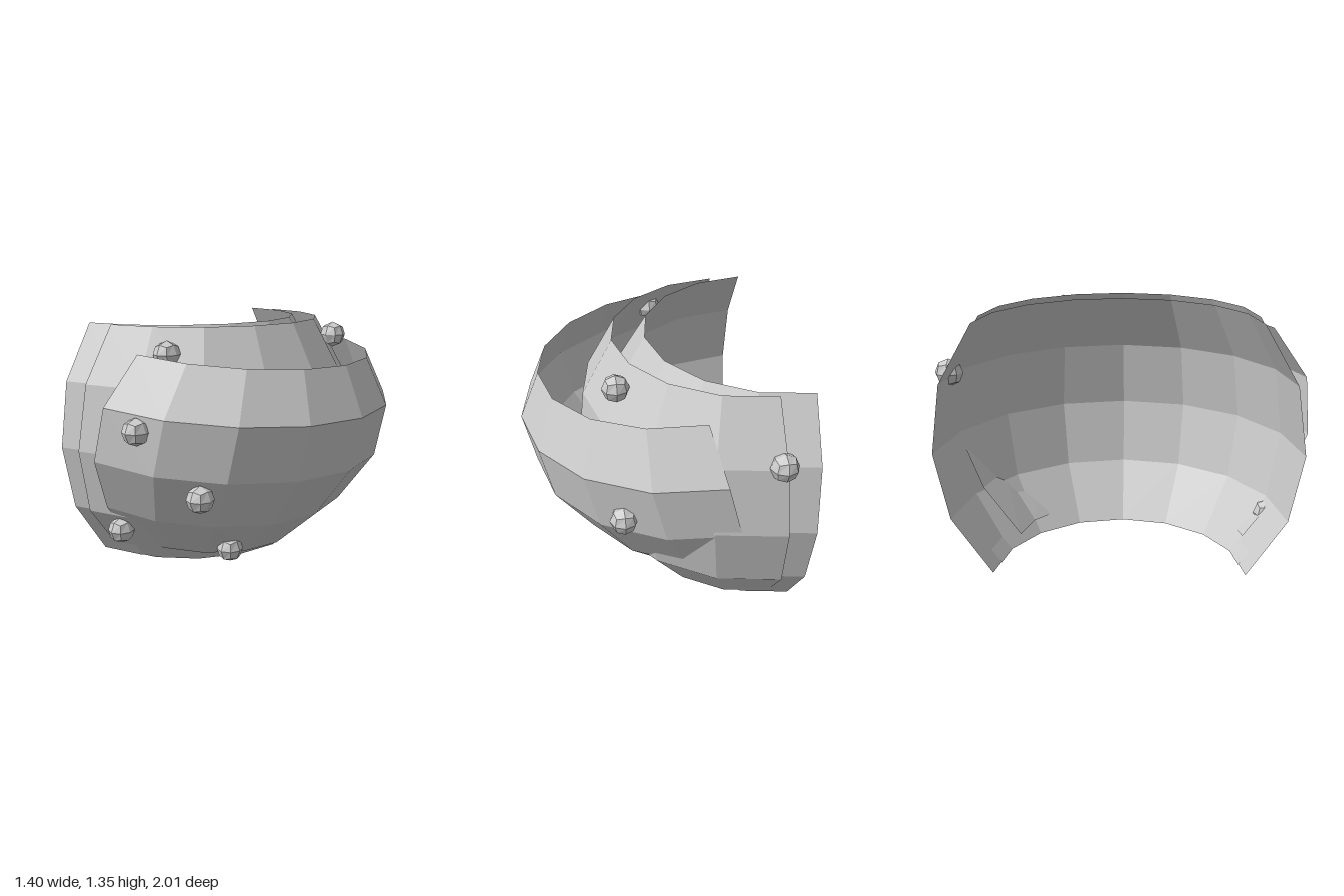
import * as THREE from 'three';

const metal = new THREE.MeshStandardMaterial({ color: 0xcccccc, flatShading: true });
const plateMetal = new THREE.MeshStandardMaterial({ color: 0xcccccc, flatShading: true, side: THREE.DoubleSide });

const ARC_STEPS = 8; // half circle in 22.5 degree facets

// Thin curved plate: each row is a half circle [centre x, y at the ends, y at the middle, radius]
function plate(name, rows, zCentre) {
  const positions = [];
  const index = [];
  for (const [cx, yEnd, yMid, r] of rows) {
    for (let i = 0; i <= ARC_STEPS; i++) {
      const a = Math.PI * (0.5 - i / ARC_STEPS);
      const c = Math.cos(a);
      positions.push(cx + r * c, yEnd + (yMid - yEnd) * c, zCentre + r * Math.sin(a));
    }
  }
  const n = ARC_STEPS + 1;
  for (let j = 0; j < rows.length - 1; j++) {
    for (let i = 0; i < ARC_STEPS; i++) {
      const a = j * n + i;
      const b = a + n;
      index.push(a, a + 1, b + 1, a, b + 1, b);
    }
  }
  const geo = new THREE.BufferGeometry();
  geo.setAttribute('position', new THREE.Float32BufferAttribute(positions, 3));
  geo.setIndex(index);
  geo.computeVertexNormals();
  const mesh = new THREE.Mesh(geo, plateMetal);
  mesh.name = name;
  return mesh;
}

// Rivet head: a subdivided cube pushed out to a sphere
function rivetGeometry(radius) {
  const geo = new THREE.BoxGeometry(1, 1, 1, 2, 2, 2);
  const p = geo.attributes.position;
  const v = new THREE.Vector3();
  for (let i = 0; i < p.count; i++) {
    v.fromBufferAttribute(p, i).setLength(radius);
    p.setXYZ(i, v.x, v.y, v.z);
  }
  geo.computeVertexNormals();
  return geo;
}

export function createModel() {
  const model = new THREE.Group();
  model.name = 'shoulderArmor';

  // Three overlapping plates, bottom row first
  model.add(plate('innerPlate', [
    [-0.70, 0, 0, 0.67],
    [-0.70, 0.31, 0.31, 0.875],
    [-0.70, 0.67, 0.67, 0.945],
    [-0.70, 1.035, 1.035, 0.89],
    [-0.70, 1.345, 1.345, 0.71],
  ].reverse(), -0.055));

  model.add(plate('middlePlate', [
    [-0.59, 0, 0, 0.64],
    [-0.57, 0.31, 0.31, 0.875],
    [-0.555, 0.67, 0.67, 0.945],
    [-0.535, 1.035, 1.035, 0.89],
    [-0.52, 1.345, 1.345, 0.71],
  ].reverse(), -0.055));

  model.add(plate('outerPlate', [
    [-0.48, 0.12, 0.05, 0.61],
    [-0.41, 0.365, 0.29, 0.82],
    [-0.33, 0.665, 0.58, 0.96],
    [-0.25, 0.96, 0.88, 0.95],
    [-0.18, 1.22, 1.15, 0.77],
  ].reverse(), 0.008));

  // Rivets scattered over the plates
  const rivetGeo = rivetGeometry(0.073);
  const rivets = new THREE.Group();
  rivets.name = 'rivets';
  for (const [x, y, z] of [
    [-0.125, 1.21, 0.62],
    [0.22, 1.255, -0.405],
    [-0.04, 0.86, 0.93],
    [0.23, 0.52, 0.76],
    [-0.385, 0.22, 0.755],
    [0.09, 0.115, 0.38],
    [0.24, 0.705, -0.775],
    [-0.515, 1.05, -0.93],
  ]) {
    const rivet = new THREE.Mesh(rivetGeo, metal);
    rivet.name = 'rivet';
    rivet.position.set(x, y, z);
    rivets.add(rivet);
  }
  model.add(rivets);
  return model;
}
